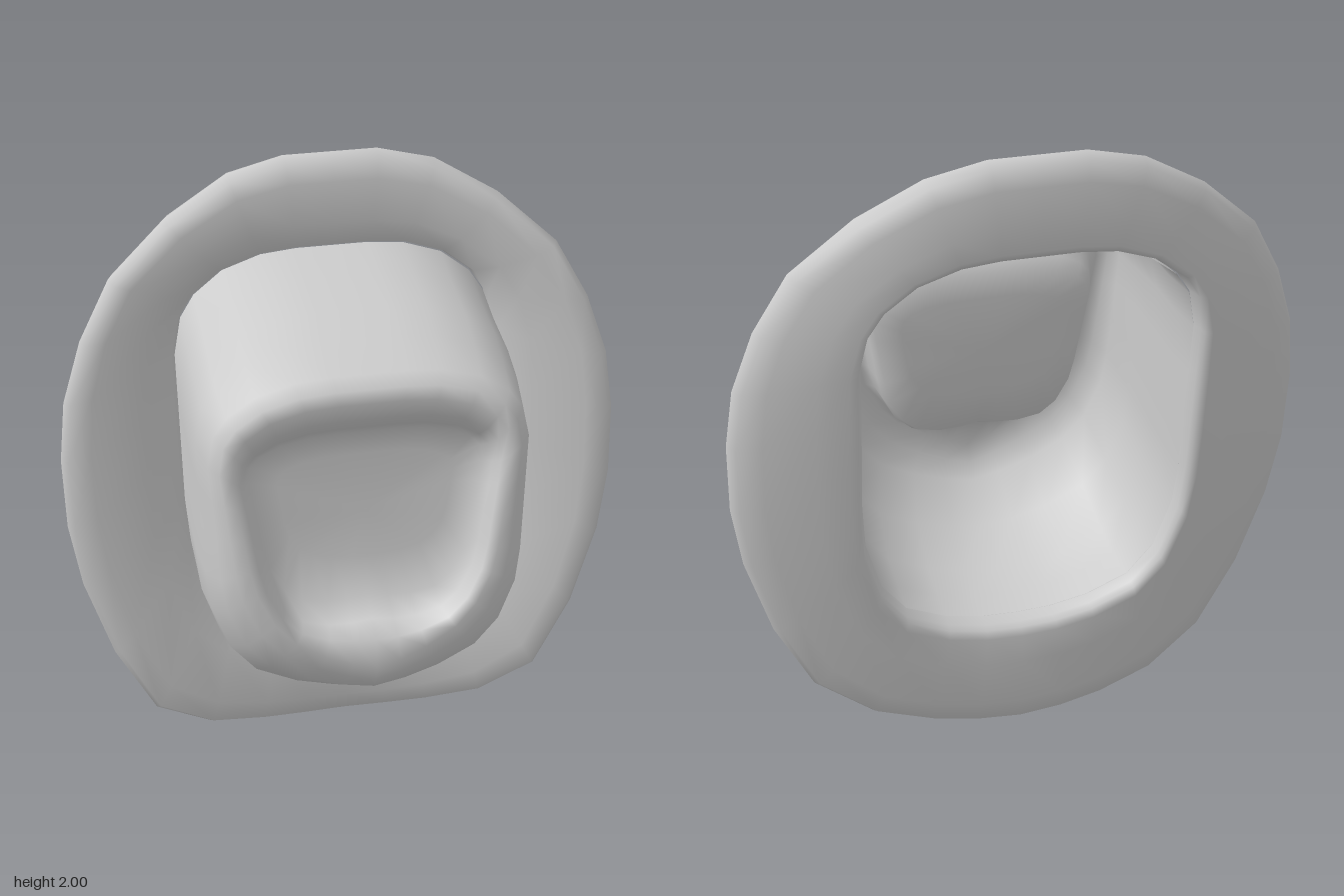
import * as THREE from 'three';

// Right half outlines, bottom centre to top centre
const BRIM_EDGE = [
  [0, 0, -.19], [.14, .005, -.18], [.28, .02, -.16], [.46, .06, -.125],
  [.64, .18, -.09], [.76, .42, -.105], [.84, .69, -.13], [.87, .9, -.155],
  [.87, 1.13, -.18], [.845, 1.32, -.205], [.78, 1.51, -.235], [.68, 1.69, -.27],
  [.5, 1.85, -.315], [.31, 1.96, -.35], [.14, 2, -.36], [0, 2, -.36],
];
const OPENING = [
  [0, .385], [.11, .39], [.23, .415], [.36, .475], [.44, .58], [.49, .75], [.5, .9], [.5, 1.08],
  [.5, 1.25], [.5, 1.4], [.475, 1.52], [.43, 1.59], [.34, 1.66], [.22, 1.7], [.11, 1.71], [0, 1.71],
];
const lerp = THREE.MathUtils.lerp;
const height = (y) => (y - 0.385) / 1.325;
const openingZ = (y) => lerp(-0.18, -0.345, height(y));

// Mirror a half outline into a full loop
function mirrorRing(half) {
  return [...half, ...half.slice(1, -1).reverse().map(([x, y, z]) => [-x, y, z])];
}

// Skin a list of equal-length rings
function loft(name, rings, closed) {
  const n = rings[0].length, index = [];
  const last = closed ? rings.length : rings.length - 1;
  for (let j = 0; j < last; j++) {
    for (let i = 0; i < n; i++) {
      const k = (i + 1) % n, a = j * n, b = ((j + 1) % rings.length) * n;
      index.push(a + i, b + i, b + k, a + i, b + k, a + k);
    }
  }
  const geometry = new THREE.BufferGeometry();
  geometry.setAttribute('position', new THREE.Float32BufferAttribute(rings.flat(2), 3));
  geometry.setIndex(index);
  geometry.computeVertexNormals();
  const mesh = new THREE.Mesh(geometry,
    new THREE.MeshStandardMaterial({ color: 0xcccccc, side: THREE.DoubleSide }));
  mesh.name = name;
  return mesh;
}

// Padded brim: a closed profile of [opening-to-edge fraction, thickness offset]
function makeBrim() {
  const profile = [[-.02, 0], [.02, .025], [.3, .053], [.75, .052], [.94, .035],
    [1, 0], [.94, -.038], [.75, -.06], [.35, -.068], [.1, -.066], [.03, -.056], [.015, -.03]];
  const rings = profile.map(([u, dz]) => mirrorRing(OPENING.map(([x, y], i) => {
    const [ex, ey, ez] = BRIM_EDGE[i];
    return [lerp(x, ex, u), lerp(y, ey, u), lerp(openingZ(y), ez, u) + dz];
  })));
  return loft('brim', rings, true);
}

// Crown shell: [bottom y, top y, bottom z, top z, width, taper to bottom, lift of lower corners]
function makeCrown() {
  const sections = [
    [1.12, 1.12, .222, .222, .001, 0, 0],    // dent floor
    [.96, 1.31, .235, .205, .55, .2, 0],
    [.84, 1.39, .27, .215, .74, .26, -.06],
    [.80, 1.425, .34, .245, .78, .27, -.05], // dent wall
    [.765, 1.48, .40, .29, .81, .26, 0],     // dent lip
    [.67, 1.545, .42, .312, .86, .24, .1],
    [.61, 1.58, .40, .295, .915, .18, .1],
    [.56, 1.61, .37, .26, .955, .1, .07],
    [.46, 1.64, .24, .12, .98, .03, .04],
    [.405, 1.67, .07, 0, .985, 0, .01],
    [.39, 1.68, -.06, -.19, .985, 0, 0],
    [.385, 1.7, -.18, -.345, .99, 0, 0],     // seam with brim
  ];
  const rings = sections.map(([y0, y1, z0, z1, width, taper, lift]) =>
    mirrorRing(OPENING.map(([x, y]) => {
      const v = height(y);
      return [
        x * width * (1 - taper * (1 - v)),
        lerp(y0, y1, v) + lift * 2 * x * (1 - v) ** 2,
        lerp(z0, z1, v),
      ];
    })));
  return loft('crown', rings, false);
}

export function createModel() {
  const hat = new THREE.Group();
  hat.name = 'hat';
  hat.add(makeBrim(), makeCrown());
  return hat;
}
